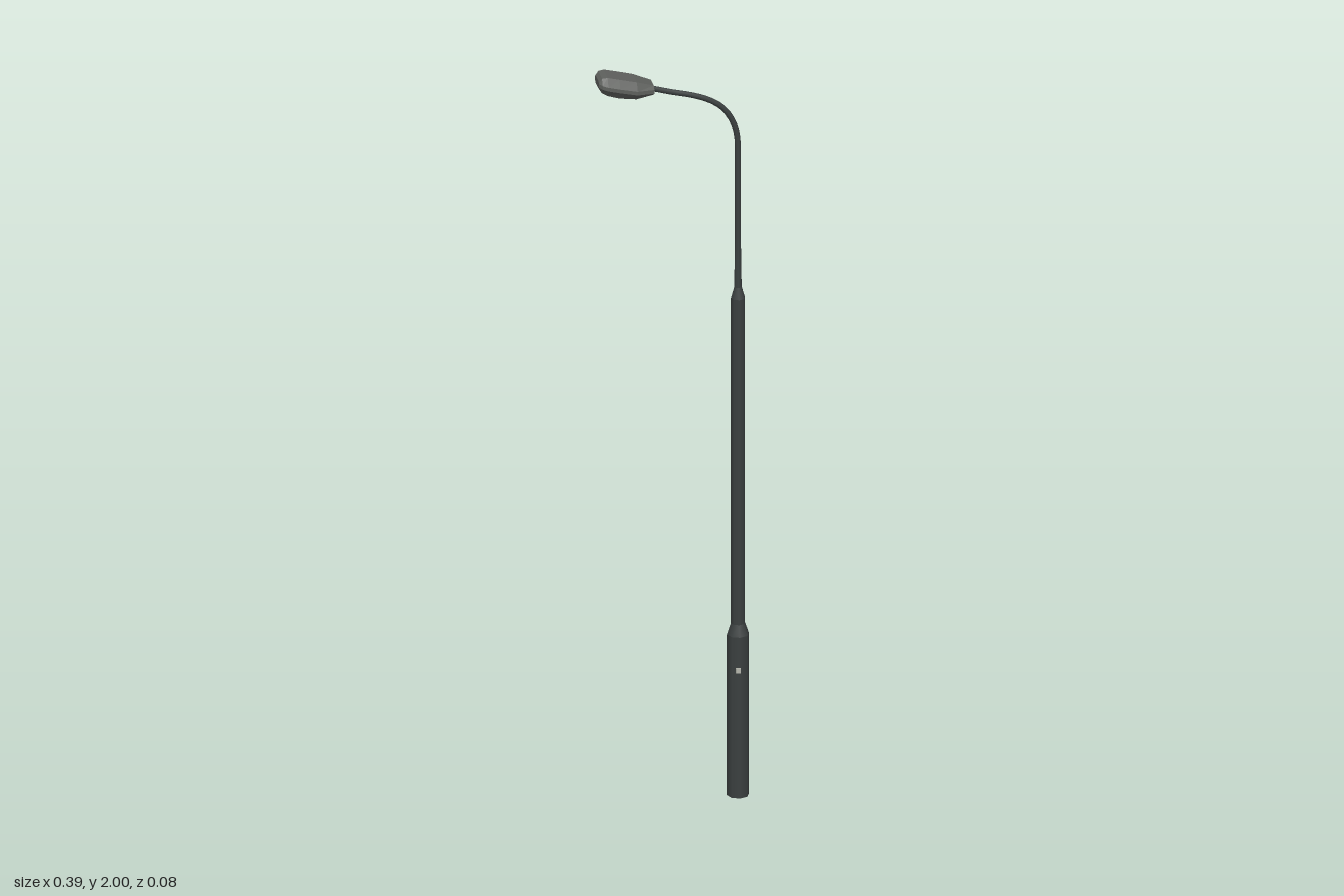
import * as THREE from 'three';

const POLE_X = 0.165;

// Skins a list of equal-length rings into a closed, outward-facing solid
function loft(rings) {
  const n = rings[0].length, pos = [], idx = [];
  rings.forEach(r => r.forEach(p => pos.push(...p)));
  for (let i = 0; i < rings.length - 1; i++)
    for (let j = 0; j < n; j++) {
      const a = i * n + j, b = i * n + (j + 1) % n;
      idx.push(a, b, a + n, b, b + n, a + n);
    }
  const last = (rings.length - 1) * n;
  for (let j = 1; j < n - 1; j++) {
    idx.push(0, j + 1, j);
    idx.push(last, last + j, last + j + 1);
  }
  const g = new THREE.BufferGeometry();
  g.setAttribute('position', new THREE.Float32BufferAttribute(pos, 3));
  g.setIndex(idx);
  const flat = g.toNonIndexed();
  flat.computeVertexNormals();
  return flat;
}

export function createModel() {
  const group = new THREE.Group();
  const poleMat = new THREE.MeshStandardMaterial({ color: 0x3b4040 });
  poleMat.name = 'dark pole metal';
  const headMat = new THREE.MeshStandardMaterial({ color: 0x5e605d });
  headMat.name = 'grey lamp housing';
  const plateMat = new THREE.MeshStandardMaterial({ color: 0xb4b6ac });
  plateMat.name = 'pale plate';

  const add = (name, geometry, material) => {
    const mesh = new THREE.Mesh(geometry, material);
    mesh.name = name;
    group.add(mesh);
    return mesh;
  };

  // Octagonal stepped pole: name, bottom y, top y, bottom radius, top radius
  [
    ['poleBase', 0, 0.44, 0.028, 0.028],
    ['baseTaper', 0.44, 0.47, 0.028, 0.018],
    ['poleShaft', 0.47, 1.36, 0.018, 0.018],
    ['shaftTaper', 1.36, 1.39, 0.018, 0.0095],
    ['armSocket', 1.39, 1.52, 0.0095, 0.0075],
  ].forEach(([name, y0, y1, r0, r1]) => {
    const open = name !== 'poleBase';
    add(name, new THREE.CylinderGeometry(r1, r0, y1 - y0, 8, 1, open), poleMat)
      .position.set(POLE_X, (y0 + y1) / 2, 0);
  });

  // Thin arm: straight rise, then a sweep over to the lamp
  const path = new THREE.CurvePath();
  const v = (x, y) => new THREE.Vector3(x, y, 0);
  path.add(new THREE.LineCurve3(v(POLE_X, 1.5), v(POLE_X, 1.77)));
  path.add(new THREE.CubicBezierCurve3(v(POLE_X, 1.77), v(POLE_X, 1.885), v(0.1, 1.915), v(0.0, 1.935)));
  path.add(new THREE.LineCurve3(v(0.0, 1.935), v(-0.065, 1.953)));
  add('arm', new THREE.TubeGeometry(path, 32, 0.0075, 8, false), poleMat);

  // Lamp housing sections: x, half width, top y, middle y, bottom y
  const sections = [
    [-0.197, 0.028, 1.990, 1.981, 1.970],
    [-0.189, 0.037, 1.998, 1.978, 1.957],
    [-0.175, 0.040, 2.000, 1.974, 1.949],
    [-0.145, 0.041, 1.993, 1.967, 1.940],
    [-0.100, 0.040, 1.982, 1.957, 1.934],
    [-0.055, 0.027, 1.966, 1.953, 1.940],
  ];
  const rings = sections.map(([x, w, t, m, b]) => [
    [x, t, -w * 0.7], [x, t, w * 0.7],
    [x, m + 0.004, w], [x, m - 0.006, w],
    [x, b, w * 0.6], [x, b, -w * 0.6],
    [x, m - 0.006, -w], [x, m + 0.004, -w],
  ]);
  add('lampHousing', loft(rings), headMat);

  // Small plate on the front of the base
  add('basePlate', new THREE.BoxGeometry(0.012, 0.014, 0.003), plateMat)
    .position.set(POLE_X - 0.004, 0.35, 0.0275);

  return group;
}
